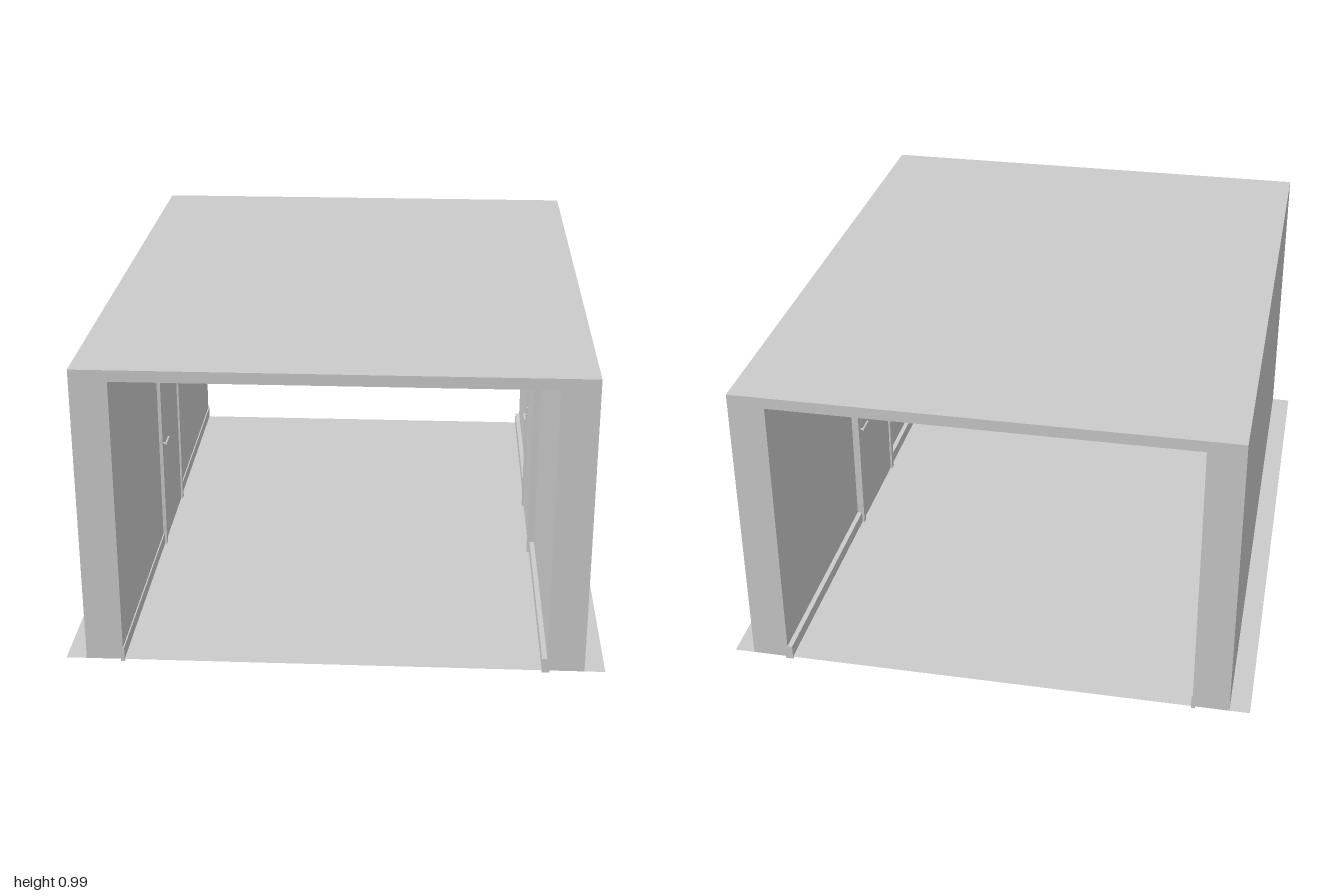
import * as THREE from 'three';

const grey = new THREE.MeshStandardMaterial({ color: 0xcccccc, side: THREE.DoubleSide });

// Box given by its limits on each axis
function block(name, [x0, x1], [y0, y1], [z0, z1]) {
  const mesh = new THREE.Mesh(new THREE.BoxGeometry(x1 - x0, y1 - y0, z1 - z0), grey);
  mesh.position.set((x0 + x1) / 2, (y0 + y1) / 2, (z0 + z1) / 2);
  mesh.name = name;
  return mesh;
}

// Door, frame, handle and skirting for the +x wall; "face" is the x of the frame's room side
function wallFittings(name, face) {
  const g = new THREE.Group();
  g.name = name;
  const back = 0.665, half = 0.2, w = 0.02, top = 0.79;

  // Frame: two jambs and a head rail
  for (const s of [-1, 1]) {
    const a = s * half, b = s * (half - w);
    g.add(block('doorJamb', [face, back], [0, top], [Math.min(a, b), Math.max(a, b)]));
  }
  g.add(block('doorHead', [face, back], [top - w, top], [-half + w, half - w]));

  // Leaf, set back slightly from the frame
  g.add(block('doorLeaf', [face + 0.007, back], [0.006, top - w], [-half + w, half - w]));

  // Handle: plate, spindle and lever
  g.add(block('handlePlate', [face + 0.003, face + 0.008], [0.365, 0.425], [-0.172, -0.16]));
  const spindle = new THREE.Mesh(new THREE.CylinderGeometry(0.004, 0.004, 0.018, 12), grey);
  spindle.name = 'handleSpindle';
  spindle.rotation.z = Math.PI / 2;
  spindle.position.set(face, 0.396, -0.166);
  g.add(spindle);
  g.add(block('handleLever', [face - 0.01, face - 0.004], [0.391, 0.401], [-0.17, -0.11]));

  // Skirting boards on both sides of the door
  g.add(block('skirtingBack', [face + 0.008, back + 0.003], [0.012, 0.06], [-1, -half]));
  g.add(block('skirtingFront', [face + 0.008, back + 0.003], [0.012, 0.06], [half, 1]));
  return g;
}

export function createModel() {
  const model = new THREE.Group();
  model.name = 'corridor';

  // Walls and ceiling as one extruded arch section
  const section = new THREE.Shape([
    [-0.776, 0.02], [-0.66, 0.02], [-0.66, 0.95], [0.66, 0.95],
    [0.66, 0.02], [0.776, 0.02], [0.776, 0.986], [-0.776, 0.986],
  ].map(([x, y]) => new THREE.Vector2(x, y)));
  const shell = new THREE.Mesh(
    new THREE.ExtrudeGeometry(section, { depth: 2, bevelEnabled: false }), grey);
  shell.position.z = -1;
  shell.name = 'wallsAndCeiling';
  model.add(shell);

  // Floor sheet, a little wider than the walls
  const floor = new THREE.Mesh(new THREE.PlaneGeometry(1.68, 2), grey);
  floor.rotation.x = -Math.PI / 2;
  floor.position.y = 0.02;
  floor.name = 'floor';
  model.add(floor);

  // Ceiling light panel
  model.add(block('ceilingPanel', [-0.065, 0.065], [0.944, 0.951], [-0.24, 0.24]));

  // The second side is the first turned half a circle
  model.add(wallFittings('leftFittings', 0.636));
  const right = wallFittings('rightFittings', 0.648);
  right.rotation.y = Math.PI;
  model.add(right);

  return model;
}
